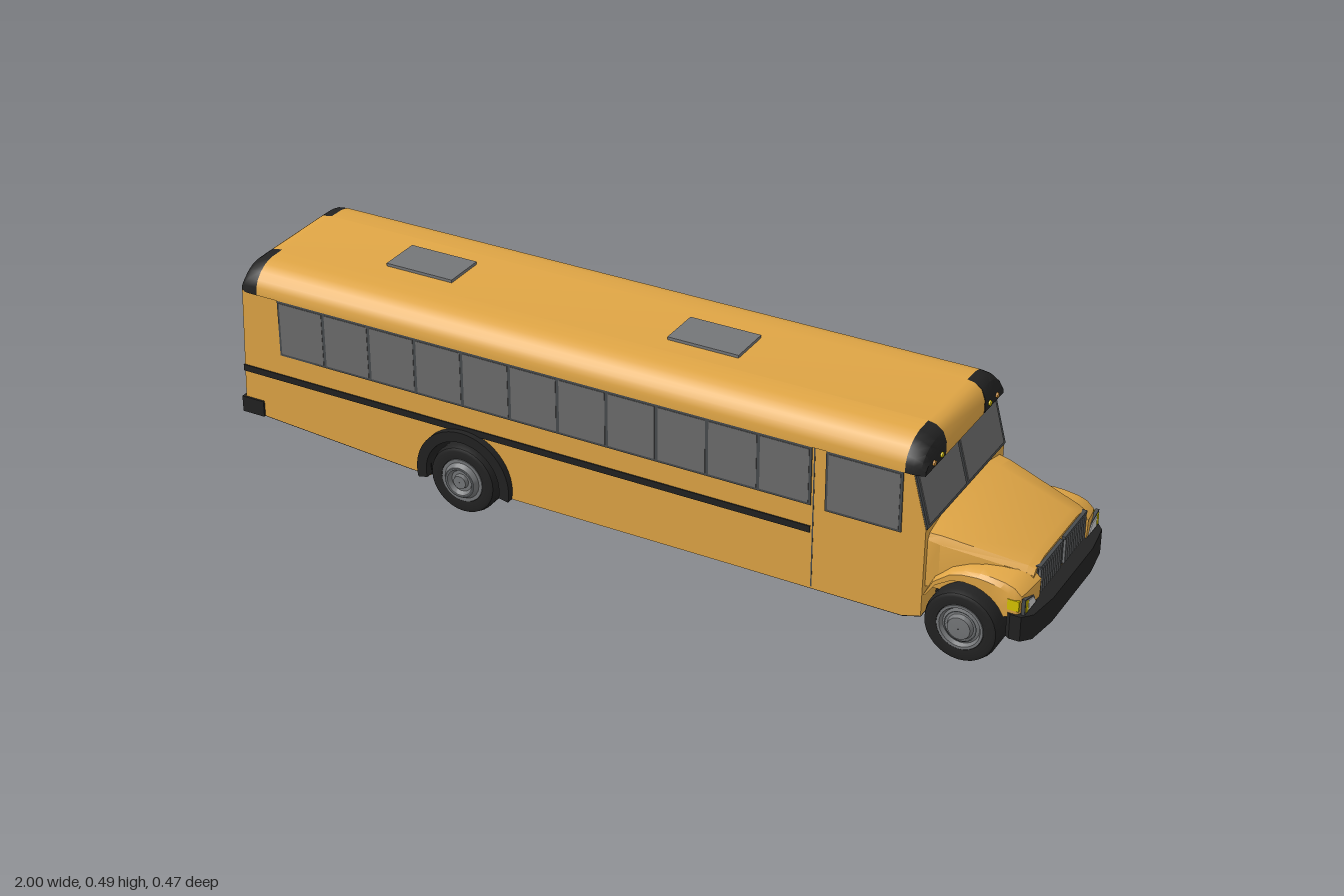
import * as THREE from 'three';
import { toCreasedNormals } from 'three/addons/utils/BufferGeometryUtils.js';

const mat = (name, color) => Object.assign(new THREE.MeshStandardMaterial({ color }), { name });

export function createModel() {
  const bus = new THREE.Group();
  bus.name = 'bus';
  const yellow = mat('bodyYellow', 0xdfa545), black = mat('trimBlack', 0x222222);
  const glass = mat('windowGrey', 0x6c6c6c), frame = mat('frameGrey', 0x484b4d);
  const metal = mat('metalGrey', 0x747678), lamp = mat('lampWhite', 0xcccccc);
  const signal = mat('signalYellow', 0xd8c400), amber = mat('lampAmber', 0xd0913a);

  const add = (name, geo, material, parent = bus) => {
    const m = new THREE.Mesh(geo, material);
    m.name = name;
    parent.add(m);
    return m;
  };
  // Box given by its limits on each axis
  const box = (name, x0, x1, y0, y1, z0, z1, material, parent) => {
    const m = add(name, new THREE.BoxGeometry(x1 - x0, y1 - y0, Math.abs(z1 - z0)), material, parent);
    m.position.set((x0 + x1) / 2, (y0 + y1) / 2, (z0 + z1) / 2);
    return m;
  };
  // Side outline extruded between two z values
  const slab = (name, shape, z0, z1, material) => {
    const geo = new THREE.ExtrudeGeometry(shape, { depth: Math.abs(z1 - z0), bevelEnabled: false, curveSegments: 20 });
    geo.translate(0, 0, Math.min(z0, z1));
    return add(name, geo, material);
  };
  // Closed solid through rings of [x, y, z]; winding is fixed from its volume
  const loft = (name, rings, material) => {
    const n = rings[0].length, pts = rings.flat(), tris = [];
    for (let r = 0; r < rings.length - 1; r++) for (let i = 0; i < n; i++) {
      const a = r * n + i, b = r * n + (i + 1) % n;
      tris.push([a, b, b + n], [a, b + n, a + n]);
    }
    const end = (rings.length - 1) * n;
    for (let i = 1; i < n - 1; i++) tris.push([0, i + 1, i], [end, end + i, end + i + 1]);
    const v = pts.map(p => new THREE.Vector3(...p));
    const c = v.reduce((s, p) => s.add(p), new THREE.Vector3()).divideScalar(v.length);
    v.forEach(p => p.sub(c));
    const vol = tris.reduce((s, [a, b, d]) => s + v[a].dot(v[b].clone().cross(v[d])), 0);
    const geo = new THREE.BufferGeometry();
    geo.setAttribute('position', new THREE.Float32BufferAttribute(pts.flat(), 3));
    geo.setIndex(tris.flatMap(t => vol < 0 ? [t[0], t[2], t[1]] : t));
    return add(name, toCreasedNormals(geo, 0.6), material);
  };

  // Lower body with the rear wheel arch cut out
  const underside = (path, r, drop) => {
    path.moveTo(-0.993, 0.095 - drop);
    path.lineTo(-0.92, 0.09 - drop);
    path.lineTo(-0.53, 0.063 - drop);
    path.absarc(-0.385, 0.085, r, Math.PI + 0.24, -0.24, true);
    path.lineTo(0.70, 0.06 - drop);
    path.lineTo(0.743, 0.072 - drop);
    return path;
  };
  const side = underside(new THREE.Shape(), 0.1, 0);
  [[0.745, 0.285], [0.712, 0.412], [-0.98, 0.412]].forEach(p => side.lineTo(...p));
  slab('bodyShell', side, -0.205, 0.205, yellow);

  // Black floor following the lower edge
  const low = underside(new THREE.Path(), 0.097, 0.003).getPoints(20);
  const high = low.map(p => new THREE.Vector2(p.x, p.y + 0.007)).reverse();
  slab('floor', new THREE.Shape([...low, ...high]), -0.203, 0.203, black);
  box('axleHousing', -0.49, -0.28, 0.06, 0.19, -0.12, 0.12, black);
  box('engineBay', 0.73, 0.95, 0.065, 0.16, -0.13, 0.13, black);
  box('frontAxle', 0.825, 0.855, 0.075, 0.105, -0.2, 0.2, black);
  for (const s of [-1, 1]) {
    box('frameEnd', 0.78, 0.92, 0.052, 0.085, s * 0.02, s * 0.075, black);
    for (const x of [-0.175, 0.155]) box('floorPanel', x - 0.06, x + 0.06, 0.053, 0.058, s * 0.09, s * 0.19, metal);
  }

  // Roof: yellow middle, rounded shoulders, black end corners
  const shoulder = [[0.1, 0.41], [0.208, 0.41], [0.207, 0.43], [0.2, 0.446], [0.186, 0.461], [0.167, 0.473], [0.143, 0.479], [0.1, 0.48]];
  const ends = [[-0.983, 0.5, 0.97], [-0.976, 0.8, 0.985], [-0.963, 0.94, 1], [-0.937, 1, 1],
    [0.693, 1, 1], [0.711, 0.95, 1], [0.728, 0.78, 0.985], [0.737, 0.45, 0.97]];
  const roofRing = (pts, s) => ([x, k, w]) => pts.map(([z, y]) => [x, 0.41 + (y - 0.41) * k, s * (z === 0.1 ? z : z * w)]);
  loft('roofMiddle', ends.map(roofRing([[0.1, 0.41], [0.1, 0.48], [-0.1, 0.48], [-0.1, 0.41]], 1)), yellow);
  for (const s of [-1, 1]) {
    loft('roofCornerRear', ends.slice(0, 4).map(roofRing(shoulder, s)), black);
    loft('roofShoulder', ends.slice(3, 5).map(roofRing(shoulder, s)), yellow);
    loft('roofCornerFront', ends.slice(4).map(roofRing(shoulder, s)), black);
    // Warning lamps above the windscreen and rear window
    for (const x of [-0.983, 0.737]) [[0.124, signal], [0.163, amber]].forEach(([z, m]) => {
      const l = add('warningLamp', new THREE.CylinderGeometry(0.006, 0.006, 0.008, 16), m);
      l.rotation.z = Math.PI / 2;
      l.position.set(x, 0.423, s * z);
    });
  }
  for (const x of [-0.68, 0.05]) box('roofHatch', x, x + 0.175, 0.478, 0.487, -0.053, 0.053, metal);

  // Side windows, stripe, door seams and rear arch flares
  for (const s of [-1, 1]) {
    const pitch = 1.358 / 11;
    box('windowFrame', -0.882, 0.48, 0.268, 0.41, s * 0.2, s * 0.2075, frame);
    for (let i = 0; i < 11; i++) {
      const x = -0.88 + i * pitch;
      box('sideWindow', x + 0.004, x + pitch - 0.004, 0.274, 0.404, s * 0.204, s * 0.2085, glass);
    }
    box('doorWindowFrame', 0.513, 0.69, 0.264, 0.41, s * 0.2, s * 0.2075, frame);
    box('doorWindow', 0.519, 0.684, 0.27, 0.404, s * 0.204, s * 0.2085, glass);
    box('sideStripe', -0.988, 0.48, 0.2, 0.216, s * 0.2, s * 0.208, black);
    box('doorSeam', 0.484, 0.487, 0.065, 0.41, s * 0.2, s * 0.2056, frame);
    const arch = new THREE.Shape();
    arch.absarc(-0.385, 0.085, 0.122, -0.2, Math.PI + 0.2, false);
    arch.absarc(-0.385, 0.085, 0.097, Math.PI + 0.2, -0.2, true);
    slab('archFlare', arch, s * 0.19, s * 0.222, black);
  }

  // Sloping windscreen
  const screen = new THREE.Group();
  screen.name = 'windscreen';
  screen.position.set(0.7285, 0.3475, 0);
  screen.rotation.z = 0.258;
  bus.add(screen);
  box('windscreenFrame', -0.003, 0.004, -0.064, 0.064, -0.204, 0.204, frame, screen);
  for (const s of [-1, 1]) box('windscreenPane', 0, 0.006, -0.057, 0.056, s * 0.006, s * 0.194, glass, screen);

  // Rear window, stripe and bumper
  const tail = new THREE.Group();
  tail.name = 'rearPanel';
  tail.position.set(-0.9865, 0.2525, 0);
  tail.rotation.z = -0.041;
  bus.add(tail);
  box('rearWindowFrame', -0.004, 0.002, 0.015, 0.148, -0.17, 0.17, frame, tail);
  box('rearWindow', -0.006, 0, 0.022, 0.141, -0.162, 0.162, glass, tail);
  box('rearStripe', -0.003, 0.002, -0.053, -0.037, -0.207, 0.207, black, tail);
  box('rearBumper', -1, -0.94, 0.09, 0.13, -0.21, 0.21, black);

  // Tapered hood
  const hoodRing = (x, half) => [...half.map(([z, y]) => [x, y, z]), ...half.map(([z, y]) => [x, y, -z]).reverse()];
  loft('hood', [
    hoodRing(0.735, [[0.192, 0.14], [0.192, 0.255], [0.185, 0.268], [0.125, 0.283]]),
    hoodRing(0.772, [[0.189, 0.14], [0.189, 0.248], [0.178, 0.264], [0.12, 0.279]]),
    hoodRing(0.95, [[0.152, 0.14], [0.148, 0.213], [0.138, 0.225], [0.09, 0.238]]),
    hoodRing(0.966, [[0.15, 0.14], [0.146, 0.207], [0.135, 0.218], [0.09, 0.227]])
  ], yellow);

  // Front fenders swept around the wheel: [angle, outer radius]
  const sweep = [[0.43, 0.143], [0.66, 0.164], [0.8, 0.162], [0.94, 0.153], [1.14, 0.14], [1.34, 0.131],
    [1.63, 0.122], [1.92, 0.117], [2.33, 0.11], [2.75, 0.102]];
  for (const s of [-1, 1]) {
    loft('frontFender', sweep.map(([a, r]) => {
      const t = r - 0.097;
      return [[0.13, 0.097], [0.207, 0.097], [0.207, 0.097 + t * 0.65], [0.199, 0.097 + t * 0.88], [0.18, r], [0.13, r + t * 0.15]]
        .map(([z, q]) => [0.84 + q * Math.cos(a), 0.09 + q * Math.sin(a), s * z]);
    }), yellow);

    // Headlamp cluster
    const plate = (name, pts, x, m) => {
      const geo = new THREE.ExtrudeGeometry(new THREE.Shape(pts.map(p => new THREE.Vector2(-s * p[0], p[1]))), { depth: 0.008, bevelEnabled: false });
      geo.rotateY(Math.PI / 2);
      geo.translate(x, 0, 0);
      add(name, geo, m);
    };
    plate('headlampSurround', [[0.14, 0.146], [0.204, 0.146], [0.204, 0.184], [0.158, 0.172]], 0.966, frame);
    plate('headlamp', [[0.147, 0.15], [0.188, 0.15], [0.188, 0.176], [0.161, 0.169]], 0.968, lamp);
    plate('turnSignal', [[0.19, 0.151], [0.2, 0.151], [0.2, 0.179], [0.19, 0.177]], 0.968, signal);
    box('sideSignal', 0.936, 0.962, 0.153, 0.178, s * 0.202, s * 0.2085, signal);

    // Grille half with upright bars
    box('grilleBack', 0.96, 0.969, 0.152, 0.217, s * 0.006, s * 0.13, frame);
    box('grilleTop', 0.96, 0.974, 0.215, 0.222, s * 0.005, s * 0.128, frame);
    for (let i = 0; i < 11; i++) box('grilleBar', 0.965, 0.974, 0.154, 0.216, s * (0.01 + i * 0.011), s * (0.016 + i * 0.011), metal);
  }

  // Front bumper with swept-back ends
  const half = [[0.935, 0.205], [0.945, 0.212], [0.97, 0.212], [0.989, 0.19], [1, 0.11]];
  const outline = [...half, ...half.map(([x, z]) => [x, -z]).reverse()];
  loft('frontBumper', [0.085, 0.145].map(y => outline.map(([x, z]) => [x, y, z])), black);

  // Wheels: lathe profiles of [radius, distance along the axle]
  const lathe = pts => {
    const geo = new THREE.LatheGeometry(pts.map(p => new THREE.Vector2(...p)), 32);
    return toCreasedNormals(geo.rotateX(Math.PI / 2), 0.6);
  };
  const tyre = [[0.001, 0], [0.07, 0], [0.08, 0.005], [0.085, 0.018], [0.085, 0.075], [0.081, 0.087], [0.074, 0.09], [0.054, 0.088], [0.05, 0.075], [0.001, 0.075]];
  const frontRim = [[0.001, 0.074], [0.053, 0.074], [0.053, 0.089], [0.047, 0.089], [0.042, 0.08], [0.03, 0.084], [0.026, 0.094], [0.001, 0.096]];
  const rearRim = [[0.001, 0.074], [0.053, 0.074], [0.053, 0.089], [0.045, 0.089], [0.038, 0.1], [0.032, 0.1], [0.026, 0.09], [0.018, 0.09], [0.016, 0.1], [0.001, 0.1]];
  for (const [name, x, rim] of [['frontWheel', 0.84, frontRim], ['rearWheel', -0.385, rearRim]]) for (const s of [-1, 1]) {
    const wheel = new THREE.Group();
    wheel.name = name;
    wheel.position.set(x, 0.085, s * 0.135);
    if (s < 0) wheel.rotation.y = Math.PI;
    bus.add(wheel);
    add('tyre', lathe(tyre), black, wheel);
    add('rim', lathe(rim), metal, wheel);
    const ring = add('rimGroove', new THREE.RingGeometry(0.034, 0.037, 32), frame, wheel);
    ring.position.z = rim === frontRim ? 0.085 : 0.1005;
  }
  return bus;
}
